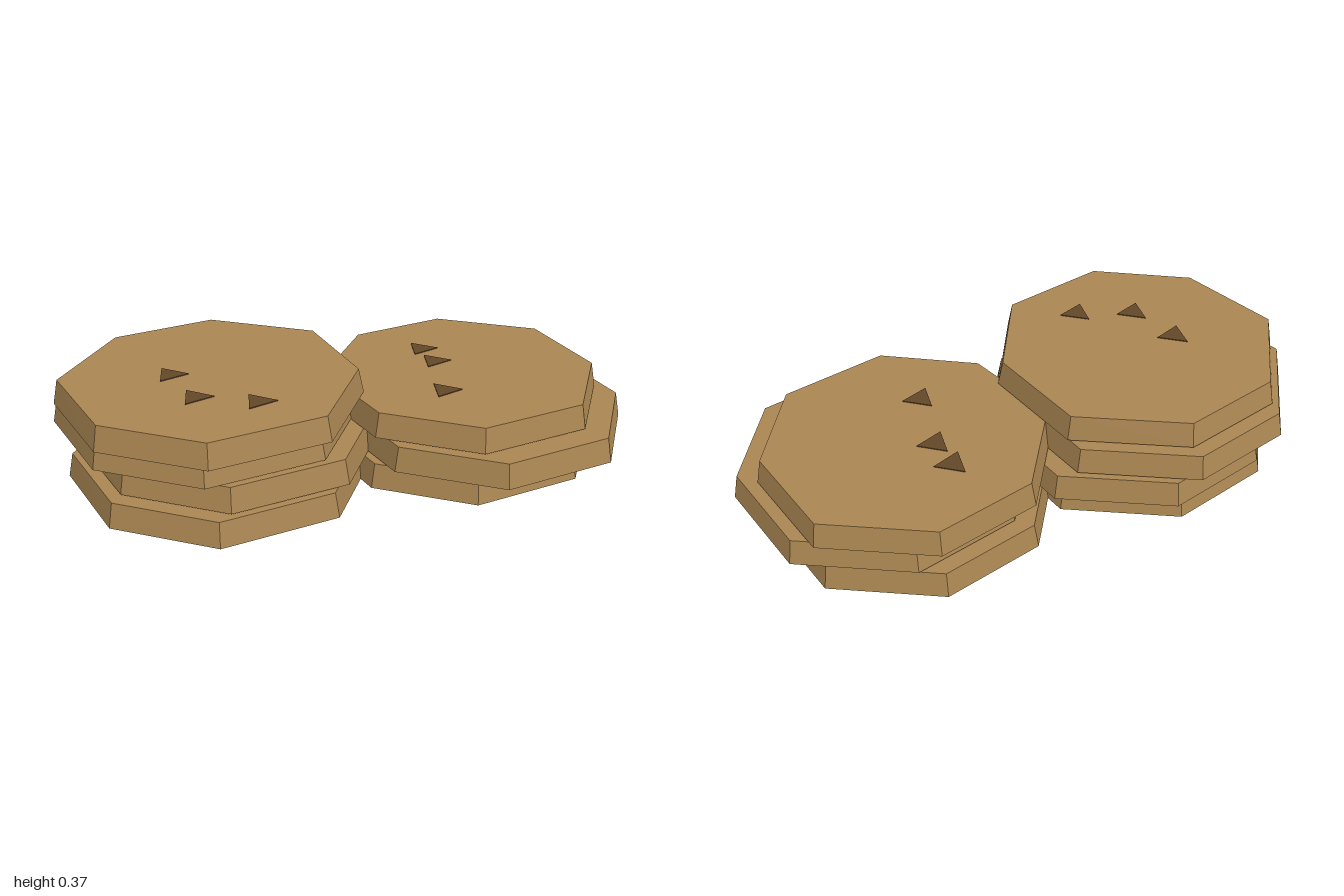
import * as THREE from 'three';

const dough = new THREE.MeshStandardMaterial({ color: 0xaa8652, flatShading: true, side: THREE.DoubleSide });
dough.name = 'baked dough';
const chocolate = new THREE.MeshStandardMaterial({ color: 0x644829, flatShading: true });
chocolate.name = 'chocolate';

const THICKNESS = 0.085;
const SPACING = 0.094;

// Hollow eight-sided cookie, open underneath and wider at its base
function makeCookie([x, z, radius], level) {
  const profile = [
    new THREE.Vector2(radius, 0),
    new THREE.Vector2(radius * 0.966, THICKNESS),
    new THREE.Vector2(0, THICKNESS),
  ];
  const geometry = new THREE.LatheGeometry(profile, 8);
  // The four diagonal corners sit slightly off regular
  const corners = geometry.attributes.position;
  for (let i = 0; i < corners.count; i++) {
    const cx = corners.getX(i);
    const cz = corners.getZ(i);
    if (Math.abs(cx) > 0.2 && Math.abs(cz) > 0.2) {
      corners.setX(i, cx + 0.015);
      corners.setZ(i, cz - 0.003);
    }
  }
  const cookie = new THREE.Mesh(geometry, dough);
  cookie.name = 'cookie';
  cookie.position.set(x, level * SPACING, z);
  return cookie;
}

// Very thin three-sided chip lying on the top cookie
function makeChip([x, z], y) {
  const height = 0.003;
  const geometry = new THREE.CylinderGeometry(0.061, 0.061, height, 3, 1, false, Math.PI / 2);
  const chip = new THREE.Mesh(geometry, chocolate);
  chip.name = 'chocolateChip';
  chip.position.set(x, y + height / 2, z);
  return chip;
}

// Cookies are [x, z, radius] from the bottom up; chips are [x, z]
function makeStack(name, cookies, chips) {
  const stack = new THREE.Group();
  stack.name = name;
  cookies.forEach((cookie, level) => stack.add(makeCookie(cookie, level)));
  const topY = (cookies.length - 1) * SPACING + THICKNESS + 0.001;
  chips.forEach((chip) => stack.add(makeChip(chip, topY)));
  return stack;
}

export function createModel() {
  const model = new THREE.Group();
  model.name = 'cookieStacks';
  model.add(
    makeStack(
      'tallStack',
      [[-0.44, 0.067, 0.518], [-0.402, 0.021, 0.516], [-0.48, 0.023, 0.517], [-0.463, 0.083, 0.517]],
      [[-0.592, 0.078], [-0.505, 0.262], [-0.305, 0.312]]
    ),
    makeStack(
      'shortStack',
      [[0.4, -0.101, 0.496], [0.482, -0.047, 0.514], [0.415, -0.106, 0.5]],
      [[0.306, -0.29], [0.337, -0.173], [0.333, 0.08]]
    )
  );
  return model;
}
